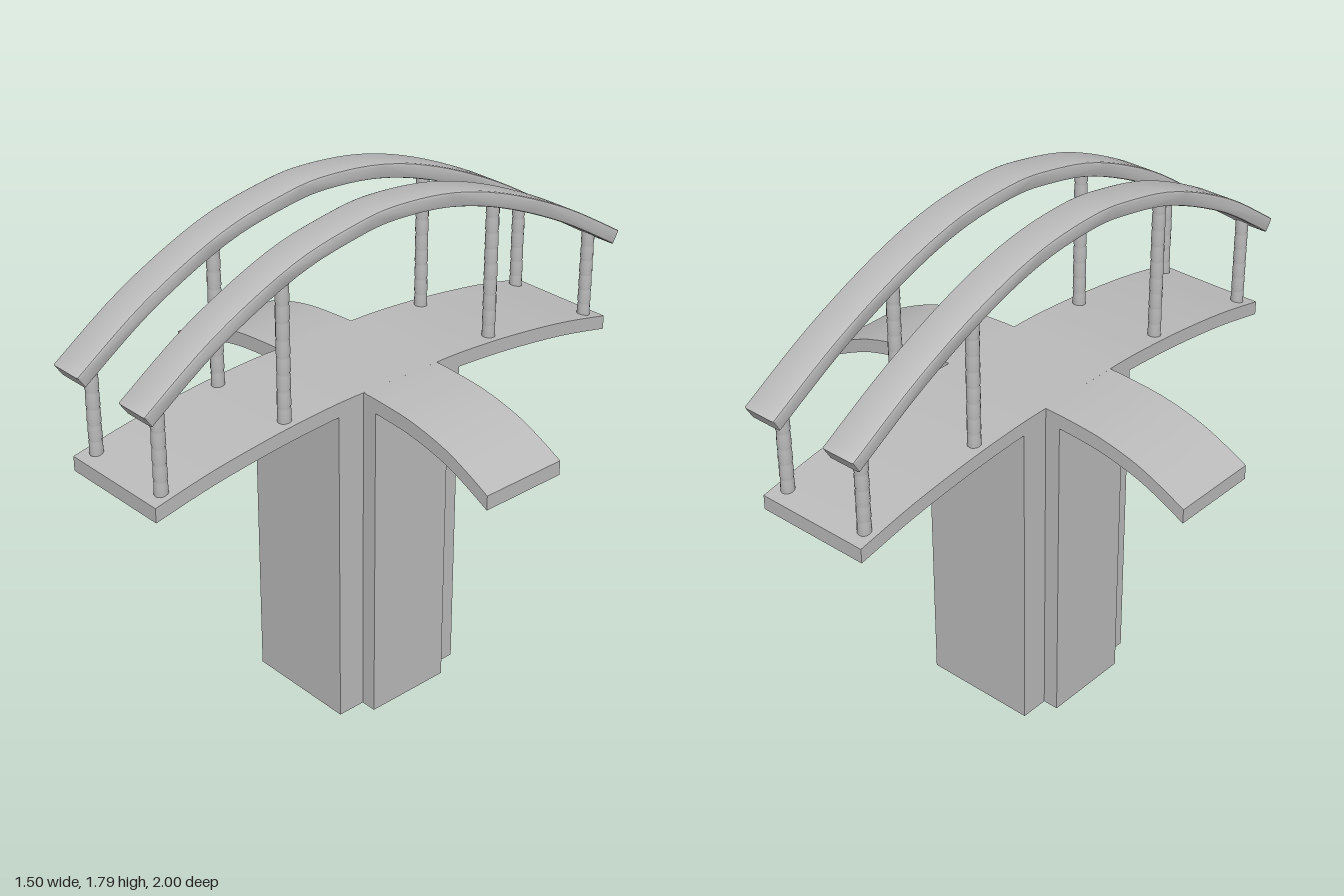
import * as THREE from 'three';
import { toCreasedNormals } from 'three/addons/utils/BufferGeometryUtils.js';

const grey = new THREE.MeshStandardMaterial({ color: 0xbababa });
grey.name = 'grey';
const greyShell = new THREE.MeshStandardMaterial({ color: 0xbababa, side: THREE.DoubleSide });
greyShell.name = 'grey shell';

const spline = (pts, n) =>
  new THREE.SplineCurve(pts.map(([x, y]) => new THREE.Vector2(x, y))).getPoints(n);

// Extrude an outline by a total width, centred across that width
function slab(outline, width, bevel = 0) {
  const geo = new THREE.ExtrudeGeometry(new THREE.Shape(outline), {
    depth: width - 2 * bevel, bevelEnabled: bevel > 0, bevelThickness: bevel,
    bevelSize: bevel, bevelOffset: -bevel, bevelSegments: 2,
  });
  geo.translate(0, 0, -width / 2 + bevel);
  return toCreasedNormals(geo, 0.5);
}

// Band whose lower edge is the top curve dropped straight down
const droppedBand = (top, t) =>
  [...top, ...top.map((p) => new THREE.Vector2(p.x, p.y - t)).reverse()];

// Band of even thickness around a centre line
function evenBand(mid, t) {
  const side = (s) => mid.map((p, i) => {
    const a = mid[Math.max(i - 1, 0)], b = mid[Math.min(i + 1, mid.length - 1)];
    const d = b.clone().sub(a).normalize();
    return new THREE.Vector2(p.x - d.y * s * t / 2, p.y + d.x * s * t / 2);
  });
  return [...side(1), ...side(-1).reverse()];
}

export function createModel() {
  const group = new THREE.Group();
  const add = (name, geo, mat = grey) => {
    const mesh = new THREE.Mesh(geo, mat);
    mesh.name = name;
    group.add(mesh);
    return mesh;
  };

  // Hollow cross-shaped pillar, open at the bottom
  const a = 0.262, b = 0.206, c = 0.158, d = 0.26, h = 1.15;
  const ring = [[a, -c], [a, c], [b, c], [b, d], [-b, d], [-b, c],
    [-a, c], [-a, -c], [-b, -c], [-b, -d], [b, -d], [b, -c]];
  const pos = [];
  ring.forEach(([x0, z0], i) => {
    const [x1, z1] = ring[(i + 1) % ring.length];
    pos.push(x0, 0, z0, x0, h, z0, x1, h, z1, x0, 0, z0, x1, h, z1, x1, 0, z1);
  });
  const shell = new THREE.BufferGeometry();
  shell.setAttribute('position', new THREE.Float32BufferAttribute(pos, 3));
  shell.computeVertexNormals();
  add('pillar', shell, greyShell).position.set(-0.003, 0, -0.002);

  // Long deck, flat in the middle and drooping to front and back
  const halfDeck = spline([[0.2, 1.19], [0.3, 1.187], [0.5, 1.172], [0.75, 1.14], [0.967, 1.097]], 16);
  const deckTop = [...halfDeck.slice().reverse(),
    ...halfDeck.map((p) => new THREE.Vector2(-p.x, p.y))];
  const deck = slab(droppedBand(deckTop, 0.05).reverse(), 2 * b);
  deck.rotateY(-Math.PI / 2);
  add('deck', deck).position.set(-0.003, 0, -0.002);

  // Side arms, curving down at the tips
  const armTop = spline([[0.2, 1.19], [0.27, 1.188], [0.42, 1.175], [0.56, 1.143],
    [0.66, 1.103], [0.75, 1.058]], 18);
  for (const s of [1, -1]) {
    const arm = slab(droppedBand(armTop, 0.05), 2 * c);
    if (s < 0) arm.rotateY(Math.PI);
    add(s > 0 ? 'leftArm' : 'rightArm', arm).position.set(-0.002, 0, -0.002);
  }

  // Arched handrails
  const railLine = spline([[-0.985, 1.392], [-0.72, 1.545], [-0.44, 1.67], [-0.2, 1.74],
    [0.03, 1.763], [0.2, 1.749], [0.44, 1.693], [0.73, 1.56], [0.985, 1.392]], 40);
  const rail = slab(evenBand(railLine, 0.05), 0.126, 0.008);
  rail.rotateY(-Math.PI / 2);

  // Jointed round post: a stack of slightly bulging segments
  function post(y0, y1) {
    const n = Math.round((y1 - y0) / 0.055);
    const profile = [];
    for (let i = 0; i < n; i++) {
      const step = (y1 - y0) / n, y = y0 + i * step;
      profile.push([0.0195, y], [0.0225, y + step * 0.12], [0.0215, y + step * 0.88]);
    }
    profile.push([0.0195, y1]);
    return new THREE.LatheGeometry(profile.map(([r, y]) => new THREE.Vector2(r, y)), 16);
  }

  const posts = [[0.91, 1.1, 1.43], [0.44, 1.17, 1.685], [-0.44, 1.17, 1.66], [-0.91, 1.1, 1.425]];
  for (const [side, x] of [['left', 0.159], ['right', -0.165]]) {
    add(side + 'Handrail', rail).position.x = x;
    for (const [z, y0, y1] of posts) add(side + 'Post', post(y0, y1)).position.set(x, 0, z);
  }
  return group;
}
